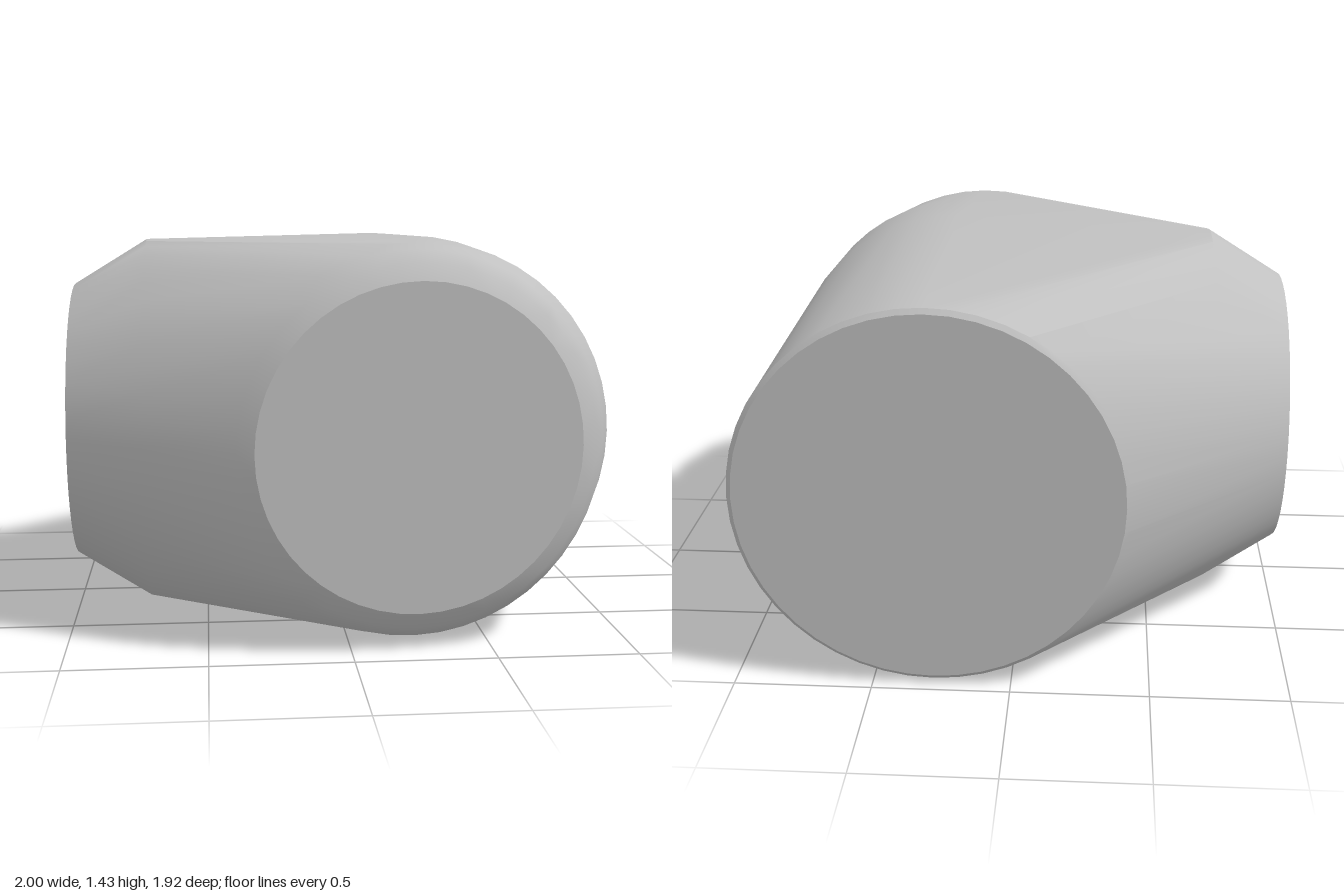
import * as THREE from 'three';
import { ConvexGeometry } from 'three/addons/geometries/ConvexGeometry.js';
import { toCreasedNormals } from 'three/addons/utils/BufferGeometryUtils.js';

const SIDES = 48;
const CENTRE_Y = 0.718;

// Circle of points around a horizontal axis; angle turns the axis from +z towards +x
function ring(x, z, radius, angle = 0) {
  const points = [];
  for (let i = 0; i < SIDES; i++) {
    const a = (i / SIDES) * Math.PI * 2;
    const across = Math.cos(a) * radius;
    points.push(new THREE.Vector3(
      x + across * Math.cos(angle),
      CENTRE_Y + Math.sin(a) * radius,
      z - across * Math.sin(angle)
    ));
  }
  return points;
}

export function createModel() {
  const group = new THREE.Group();
  group.name = 'pipeBranchHull';
  const grey = new THREE.MeshStandardMaterial({ color: 0xc0c0c0 });
  grey.name = 'grey';
  const points = [];

  // Main barrel along z, with a slim bevel at the back: [z, radius]
  for (const [z, r] of [[-0.96, 0.685], [-0.945, 0.703], [0.25, 0.717], [0.56, 0.706]]) {
    points.push(...ring(0.283, z, r));
  }

  // Slightly tilted front end with a rounded rim: [radius, depth]
  const tilt = 0.084;
  for (const [r, d] of [[0.58, 0], [0.64, 0.035], [0.685, 0.09], [0.705, 0.16]]) {
    points.push(...ring(0.24 - d * Math.sin(tilt), 0.91 - d * Math.cos(tilt), r, tilt));
  }

  // Side branch along -x, tapering to a flat end: [x, radius]
  for (const [x, r] of [[-0.72, 0.702], [-1, 0.53]]) {
    points.push(...ring(x, 0.06, r, Math.PI / 2));
  }

  // One taut skin around all rings
  const body = new THREE.Mesh(toCreasedNormals(new ConvexGeometry(points), 0.45), grey);
  body.name = 'body';
  group.add(body);
  return group;
}
